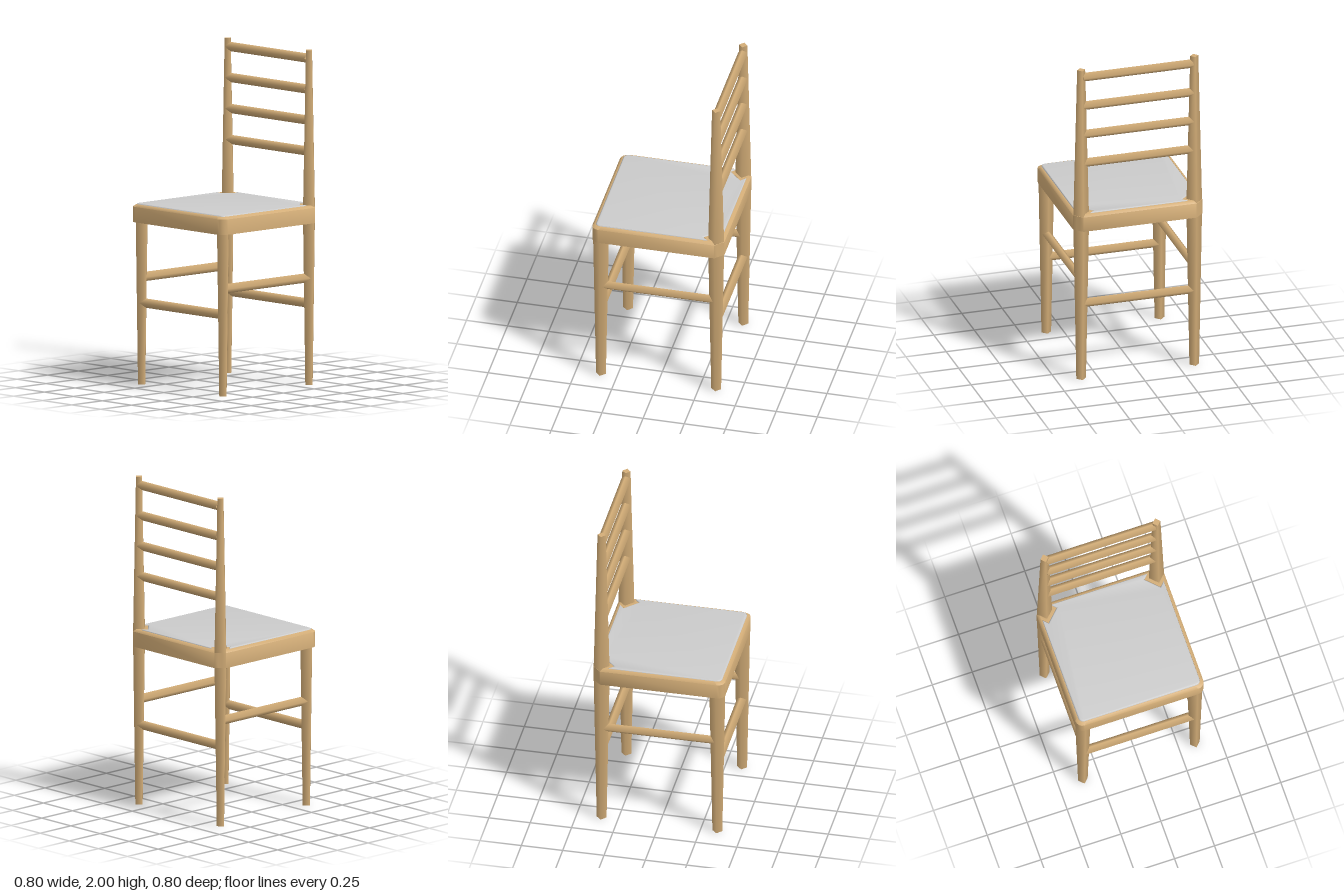
import * as THREE from 'three';
import { toCreasedNormals } from 'three/addons/utils/BufferGeometryUtils.js';

const wood = new THREE.MeshStandardMaterial({ color: 0xd4ae78 });
const grey = new THREE.MeshStandardMaterial({ color: 0xcccccc });
const P = 0.35; // post distance from the centre lines

function add(parent, name, geometry, material = wood) {
  const mesh = new THREE.Mesh(geometry, material);
  mesh.name = name;
  parent.add(mesh);
  return mesh;
}

// Tapered four-sided turned post with its edges on the axes
function post(parent, name, x, z, y0, y1, r0, r1) {
  add(parent, name, new THREE.CylinderGeometry(r1, r0, y1 - y0, 4)).position.set(x, (y0 + y1) / 2, z);
}

function rail(parent, name, x, y, z, alongX) {
  const mesh = add(parent, name, new THREE.CylinderGeometry(0.028, 0.028, 0.68, 4));
  mesh.position.set(x, y, z);
  if (alongX) mesh.rotation.z = Math.PI / 2;
  else mesh.rotation.x = Math.PI / 2;
}

// Seat outline from the right half: back corner, rounded front corner, then mirrored
function outline(backCorner, half, radius) {
  const right = backCorner.map(([x, z]) => [x, z]);
  const c = half - radius;
  for (let i = 0; i <= 4; i++) {
    const a = (i / 4) * Math.PI / 2;
    right.push([c + radius * Math.cos(a), c + radius * Math.sin(a)]);
  }
  return right.concat(right.slice().reverse().map(([x, z]) => [-x, z]));
}

// Skin between rings of [points, y], closing back to the first ring
function loft(rings) {
  const pos = [], index = [], n = rings[0][0].length;
  rings.forEach(([pts, y]) => pts.forEach(([x, z]) => pos.push(x, y, z)));
  for (let r = 0; r < rings.length; r++) {
    const s = (r + 1) % rings.length;
    for (let i = 0; i < n; i++) {
      const j = (i + 1) % n;
      const a = r * n + i, b = r * n + j, c = s * n + j, d = s * n + i;
      index.push(a, d, c, a, c, b);
    }
  }
  const g = new THREE.BufferGeometry();
  g.setAttribute('position', new THREE.Float32BufferAttribute(pos, 3));
  g.setIndex(index);
  return toCreasedNormals(g, 0.9);
}

export function createModel() {
  const chair = new THREE.Group();
  chair.name = 'chair';

  // Legs, with the back pair carrying on up as the backrest posts
  for (const s of [1, -1]) {
    const side = s > 0 ? 'left' : 'right';
    post(chair, side + 'FrontLeg', s * P, P, 0, 1.03, 0.03, 0.049);
    post(chair, side + 'BackLeg', s * P, -P, 0, 1.03, 0.03, 0.049);
    post(chair, side + 'BackPost', s * P, -P, 1.03, 2, 0.049, 0.025);
    rail(chair, side + 'Stretcher', s * P, 0.64, 0, false);
  }

  // Front and back stretchers, backrest rungs
  rail(chair, 'frontStretcher', 0, 0.487, P, true);
  rail(chair, 'backStretcher', 0, 0.487, -P, true);
  for (let i = 0; i < 4; i++) rail(chair, 'backRung' + (i + 1), 0, 1.395 + i * 0.185, -P, true);

  // Seat frame: chamfered back corners, inner opening stepping round the posts
  const outer = outline([[0.35, -0.4], [0.367, -0.383], [0.383, -0.367], [0.4, -0.35]], 0.4, 0.045);
  const inner = outline([[0.305, -0.38], [0.275, -0.35], [0.35, -0.275], [0.38, -0.305]], 0.38, 0.03);
  const topEdge = outer.map(([x, z]) => [x * 0.96, z * 0.96]);
  add(chair, 'seatFrame', loft([[inner, 0.97], [outer, 0.97], [outer, 1.062], [topEdge, 1.076], [inner, 1.076]]));

  // Seat pad with softened edges, set into the frame
  const shape = new THREE.Shape(inner.map(([x, z]) => new THREE.Vector2(x, -z)));
  const pad = new THREE.ExtrudeGeometry(shape, {
    depth: 0.03, bevelSize: 0.01, bevelThickness: 0.01, bevelOffset: -0.01, bevelSegments: 3,
  });
  pad.rotateX(-Math.PI / 2).translate(0, 1.041, 0);
  add(chair, 'seatPad', toCreasedNormals(pad, 0.7), grey);

  return chair;
}
